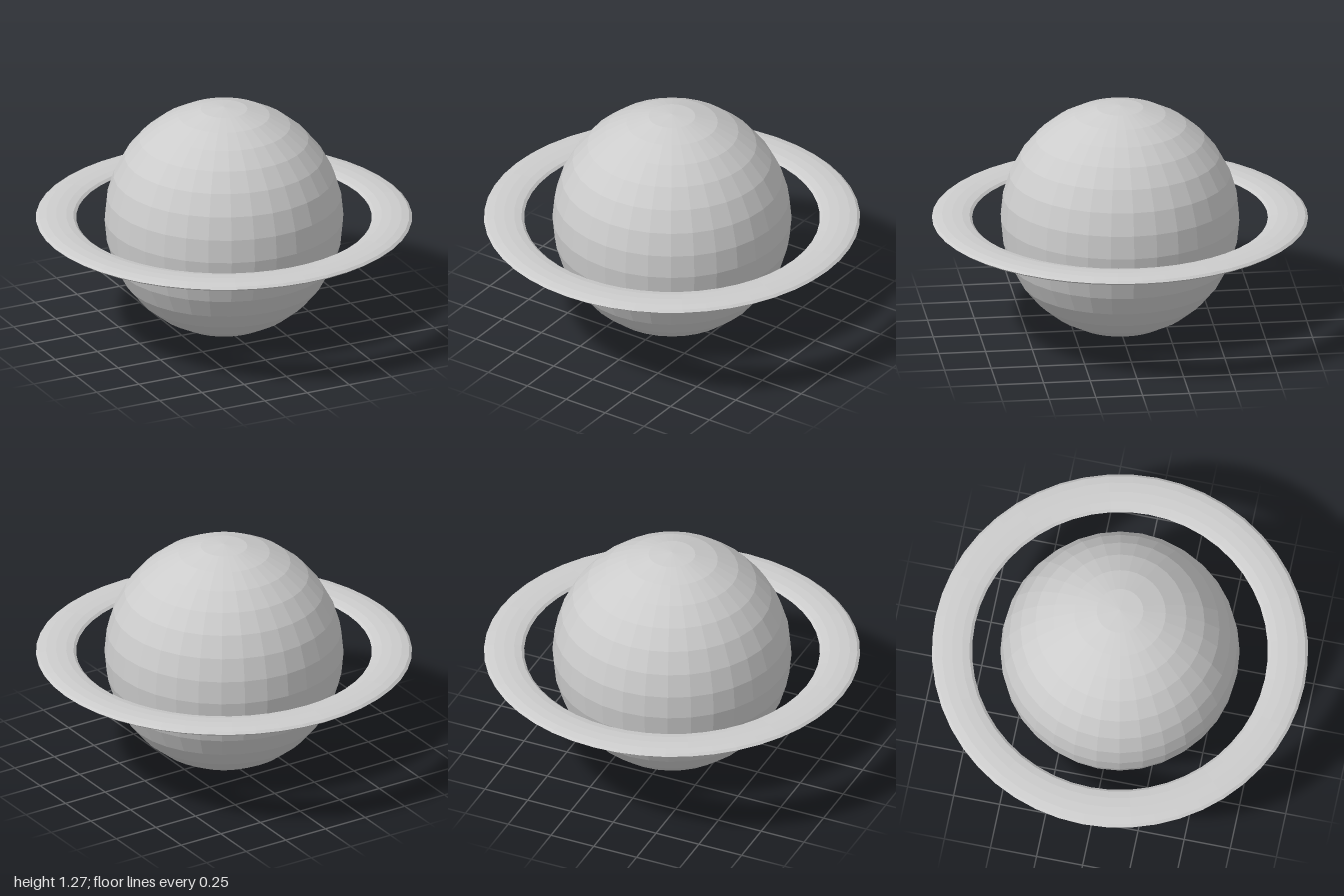
import * as THREE from 'three';

export function createModel() {
  const model = new THREE.Group();
  model.name = 'ringedPlanet';
  const grey = new THREE.MeshStandardMaterial({ color: 0xcccccc, flatShading: true });
  grey.name = 'lightGrey';

  const radius = 0.636;
  const ringInner = 0.786;
  const ringOuter = 1;
  const ringThickness = 0.044;

  // Faceted globe standing on the ground
  const globe = new THREE.Mesh(new THREE.SphereGeometry(radius, 32, 16), grey);
  globe.name = 'globe';
  globe.position.y = radius;
  model.add(globe);

  // Flattened torus around the equator
  const tube = (ringOuter - ringInner) / 2;
  const ringGeometry = new THREE.TorusGeometry(ringInner + tube, tube, 12, 48);
  ringGeometry.rotateX(-Math.PI / 2);
  ringGeometry.scale(1, ringThickness / (2 * tube), 1);
  const ring = new THREE.Mesh(ringGeometry, grey);
  ring.name = 'ring';
  ring.position.y = radius;
  model.add(ring);

  return model;
}
